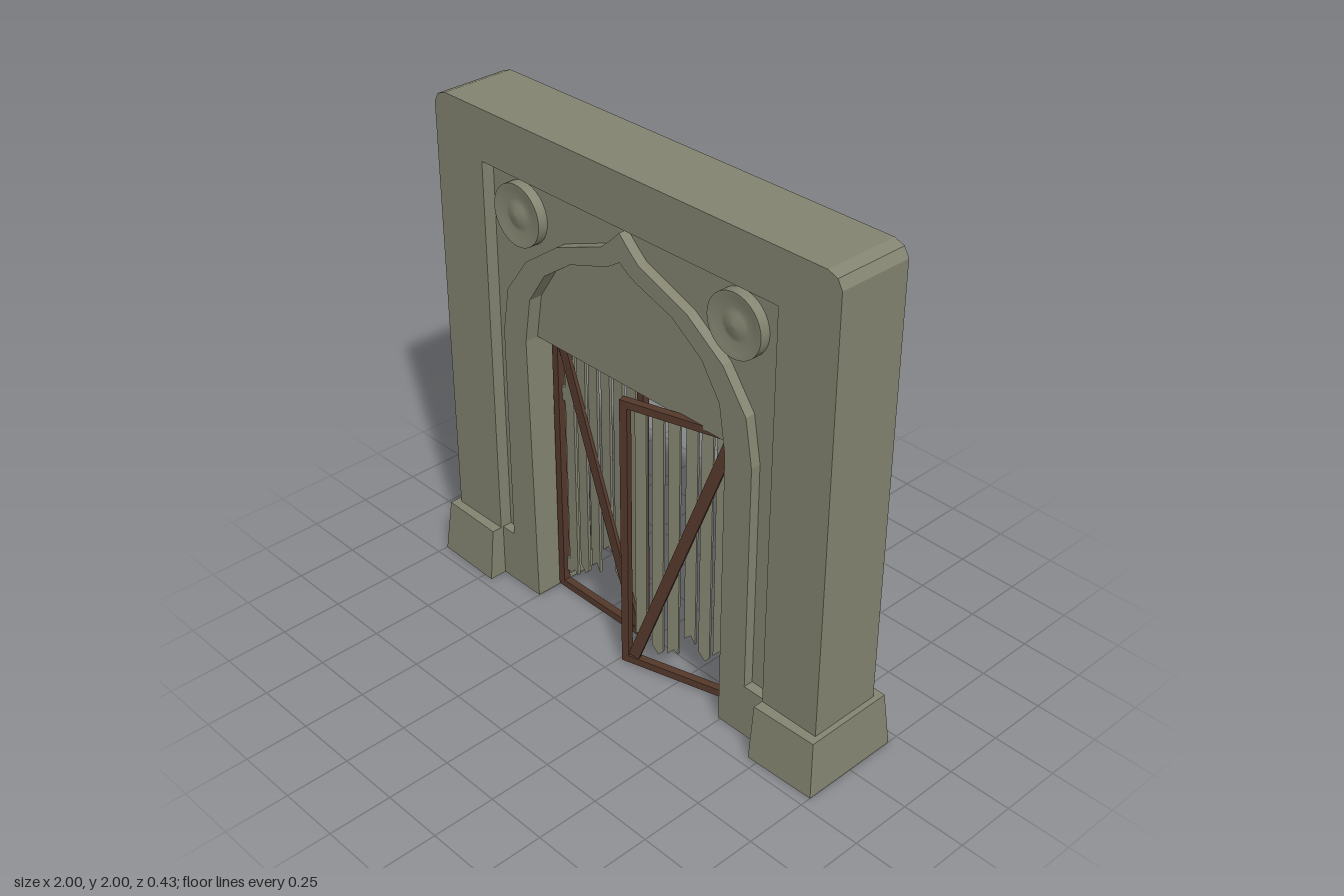
import * as THREE from 'three';

const stone = new THREE.MeshStandardMaterial({ color: 0x848471 });
stone.name = 'stone';
const wood = new THREE.MeshStandardMaterial({ color: 0x54382b });
wood.name = 'darkWood';

const ARCH_X = -0.015; // the arch sits slightly off the middle
const OUTER = [[0.628, 1.147], [0.596, 1.33], [0.487, 1.48], [0.32, 1.6], [0.09, 1.69], [0.05, 1.725], [0, 1.775]];
const INNER = [[0.505, 1.147], [0.475, 1.33], [0.39, 1.46], [0.25, 1.56], [0.075, 1.62], [0.045, 1.635], [0, 1.665]];

// Full arch line from the right side (+x) over the apex to the left side
function arch(half) {
  const mirrored = half.slice(0, -1).reverse().map(([x, y]) => [-x, y]);
  return [...half, ...mirrored].map(([x, y]) => [x + ARCH_X, y]);
}

// Extrusion of an outline, centred on z = 0
function slab(name, points, depth, material = stone) {
  const shape = new THREE.Shape(points.map(([x, y]) => new THREE.Vector2(x, y)));
  const geo = new THREE.ExtrudeGeometry(shape, { depth, bevelEnabled: false });
  geo.translate(0, 0, -depth / 2);
  const mesh = new THREE.Mesh(geo, material);
  mesh.name = name;
  return mesh;
}

function box(name, w, h, d, x, y, z, material) {
  const mesh = new THREE.Mesh(new THREE.BoxGeometry(w, h, d), material);
  mesh.position.set(x, y, z);
  mesh.name = name;
  return mesh;
}

// Pillar foot that narrows upward on the front, back and outer side
function plinth(side) {
  const geo = new THREE.BoxGeometry(1, 1, 1);
  const p = geo.attributes.position;
  for (let i = 0; i < p.count; i++) {
    const top = p.getY(i) > 0;
    const outer = p.getX(i) * side > 0;
    const z = (top ? 0.192 : 0.213) - (outer ? 0.007 : 0);
    p.setXYZ(i, side * (outer ? (top ? 0.982 : 1) : 0.71), top ? 0.222 : 0, Math.sign(p.getZ(i)) * z);
  }
  geo.computeVertexNormals();
  const mesh = new THREE.Mesh(geo, stone);
  mesh.name = side > 0 ? 'leftPlinth' : 'rightPlinth';
  return mesh;
}

// Round boss with a dished face and a raised centre
function medallion(x, side) {
  const g = new THREE.Group();
  g.name = 'medallion';
  const rim = new THREE.Mesh(new THREE.CylinderGeometry(0.12, 0.12, 0.05, 32, 1, true), stone);
  rim.position.y = 0.015;
  rim.name = 'medallionRim';
  const profile = [[0.12, 0.04], [0.1, 0.038], [0.065, 0.03], [0.045, 0.034], [0.025, 0.042], [0, 0.045]];
  const face = new THREE.Mesh(
    new THREE.LatheGeometry(profile.map(([r, y]) => new THREE.Vector2(r, y)), 32), stone);
  face.name = 'medallionFace';
  g.add(rim, face);
  g.rotation.x = side * Math.PI / 2;
  g.position.set(x, 1.645, side * 0.1);
  return g;
}

// Door leaf starting at its hinge and running along dir * x
function door(name, dir, slats) {
  const g = new THREE.Group();
  g.name = name;
  const W = 0.485, H = 1.155, T = 0.03, D = 0.03;
  for (const x of [T / 2, W - T / 2]) g.add(box('doorPost', T, H, D, dir * x, H / 2 + 0.005, 0, wood));
  for (const y of [0.005 + T / 2, H + 0.005 - T / 2])
    g.add(box('doorRail', W - 2 * T, T, D, dir * W / 2, y, 0, wood));

  // Diagonal brace from the upper hinge corner to the lower free corner
  const dx = W - 2 * T - 0.04, dy = H - 2 * T - 0.01;
  const brace = box('doorBrace', 0.044, Math.hypot(dx, dy), 0.014, dir * W / 2, H / 2 + 0.005, 0.006, wood);
  brace.rotation.z = dir * Math.atan2(dx, dy);
  g.add(brace);

  // Broken slats with ragged lower ends
  slats.forEach(([t, y], i) => {
    const a = 0.023, cut = [[0.0, 0.03, 0.015], [0.035, 0, 0.02], [0.01, 0.035, 0.0]][i % 3];
    const slat = slab('slat', [[-a, y + cut[0]], [0.004, y + cut[1]], [a, y + cut[2]], [a, 1.14], [-a, 1.14]], 0.012);
    slat.position.set(dir * t, 0, -0.008);
    g.add(slat);
  });

  // Small hinge plates
  for (const y of [0.11, 0.9]) g.add(box('hinge', 0.025, 0.06, 0.012, dir * 0.04, y, -0.008, stone));
  return g;
}

export function createModel() {
  const root = new THREE.Group();
  root.name = 'archGate';

  // Outer frame: two pillars and a lintel with clipped top corners
  root.add(slab('outerFrame', [
    [0.71, 0], [0.96, 0], [0.96, 1.95], [0.94, 1.985], [0.9, 2],
    [-0.9, 2], [-0.94, 1.985], [-0.96, 1.95], [-0.96, 0], [-0.71, 0], [-0.71, 1.8], [0.71, 1.8],
  ], 0.3));

  // Recessed wall around the opening
  const inner = arch(INNER);
  const opening = [[0.49, 0], ...inner, [-0.502, 0]];
  root.add(slab('recessedWall', [
    ...opening, [-0.71, 0], [-0.71, 1.8], [0.71, 1.8], [0.71, 0],
  ], 0.2));

  // Raised arch moulding with wide feet
  const outer = arch(OUTER).reverse();
  root.add(slab('archMoulding', [
    ...opening, [-0.71, 0], [-0.71, 0.222], [-0.643, 0.222], ...outer, [0.613, 0.222], [0.71, 0.222], [0.71, 0],
  ], 0.28));

  // Solid infill above the doors
  root.add(slab('tympanum', inner, 0.17));

  for (const side of [-1, 1]) {
    root.add(plinth(side));
    for (const x of [-0.53, 0.53]) root.add(medallion(x + ARCH_X, side));
  }

  // Door leaves, one closed and one ajar toward the front
  const rightDoor = door('rightDoor', 1,
    [[0.07, 0.07], [0.135, 0.12], [0.2, 0.17], [0.268, 0.29], [0.335, 0.19], [0.405, 0.12]]);
  rightDoor.position.set(-0.5, 0, 0.02);
  const leftDoor = door('leftDoor', -1,
    [[0.085, 0.17], [0.145, 0.13], [0.205, 0.19], [0.275, 0.1], [0.34, 0.08], [0.41, 0.13]]);
  leftDoor.position.set(0.478, 0, 0.028);
  leftDoor.rotation.y = 0.28;
  root.add(rightDoor, leftDoor);
  return root;
}
